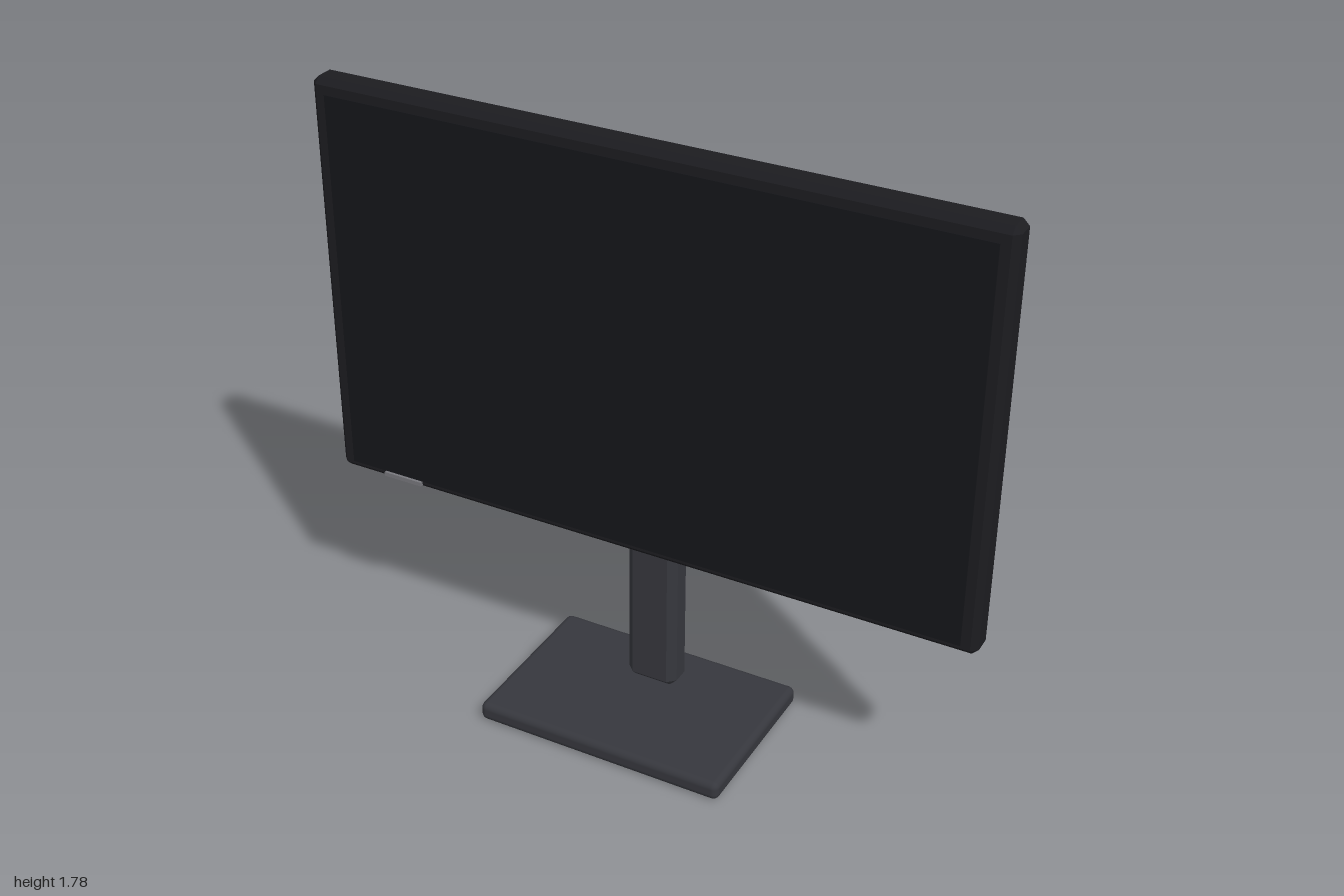
import * as THREE from 'three';
import { ConvexGeometry } from 'three/addons/geometries/ConvexGeometry.js';
import { RoundedBoxGeometry } from 'three/addons/geometries/RoundedBoxGeometry.js';

const paint = (color) => new THREE.MeshStandardMaterial({ color });

// Box with every edge cut by one flat bevel
function chamferedBox(w, h, d, b) {
  const points = [];
  for (const sx of [-1, 1]) for (const sy of [-1, 1]) for (const sz of [-1, 1]) {
    for (let axis = 0; axis < 3; axis++) {
      const inset = [b, b, b];
      inset[axis] = 0;
      points.push(new THREE.Vector3(
        sx * (w / 2 - inset[0]), sy * (h / 2 - inset[1]), sz * (d / 2 - inset[2])));
    }
  }
  return new ConvexGeometry(points);
}

export function createModel() {
  const model = new THREE.Group();
  const frame = paint(0x1c1c20);
  const stand = paint(0x36373d);

  const add = (name, geometry, material, x, y, z) => {
    const mesh = new THREE.Mesh(geometry, material);
    mesh.name = name;
    mesh.position.set(x, y, z);
    model.add(mesh);
    return mesh;
  };

  // Stand
  add('base', new RoundedBoxGeometry(0.77, 0.058, 0.515, 3, 0.02), stand, 0, 0.029, 0);
  add('neck', chamferedBox(0.157, 0.8, 0.095, 0.023), stand, 0, 0.456, -0.112);

  // Display housing, glass panel and indicator strip
  add('screenHousing', chamferedBox(2, 1.222, 0.086, 0.018), frame, 0, 1.165, -0.033);
  add('screenPanel', new THREE.BoxGeometry(1.91, 1.15, 0.006), paint(0x15161a), 0, 1.157, 0.0095);
  add('indicatorStrip', new THREE.BoxGeometry(0.126, 0.013, 0.012), paint(0x77777c), -0.778, 0.575, 0.014);

  // Rear cover and tilt hinge
  add('rearCover', chamferedBox(0.966, 0.64, 0.09, 0.043), stand, 0, 1.17, -0.1);
  const hinge = add('tiltHinge', new THREE.CylinderGeometry(0.093, 0.093, 0.157, 16), frame, 0, 1.07, -0.113);
  hinge.rotation.z = Math.PI / 2;

  return model;
}
